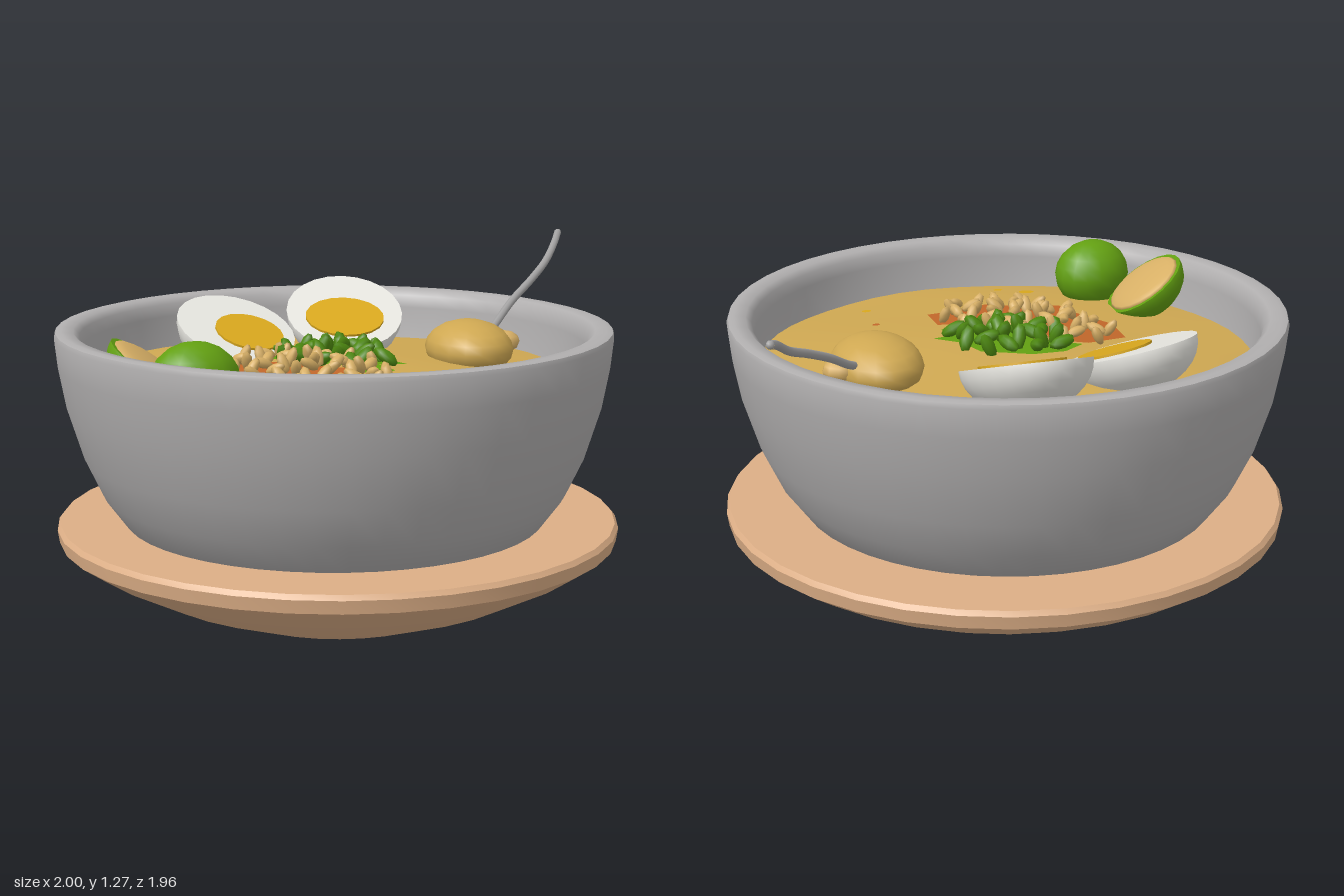
import * as THREE from 'three';
import { toCreasedNormals } from 'three/addons/utils/BufferGeometryUtils.js';

const mat = (name, color, side = THREE.FrontSide) => {
  const m = new THREE.MeshStandardMaterial({ color, side });
  m.name = name;
  return m;
};

// Soup surface: a gentle dome with slow ripples
const CX = -0.03;
const soupY = (x, z) => {
  const r2 = ((x - CX) ** 2 + z * z) / 0.76;
  return 0.85 + 0.055 * (1 - r2) + 0.008 * Math.sin(5 * x + 1) * Math.cos(6 * z);
};

// Disc-like sheet fanned from the centroid of an outline and draped on the soup
function drape(outline, lift, rings) {
  const n = outline.length, pos = [], idx = [];
  const cx = outline.reduce((s, p) => s + p[0], 0) / n;
  const cz = outline.reduce((s, p) => s + p[1], 0) / n;
  for (let j = 0; j <= rings; j++) {
    for (const [px, pz] of outline) {
      const t = j / rings, x = cx + (px - cx) * t, z = cz + (pz - cz) * t;
      pos.push(x, soupY(x, z) + lift, z);
    }
  }
  for (let j = 0; j < rings; j++) {
    for (let i = 0; i < n; i++) {
      const a = j * n + i, b = j * n + (i + 1) % n, c = a + n, d = b + n;
      idx.push(a, d, c);
      if (j > 0) idx.push(a, b, d);
    }
  }
  const g = new THREE.BufferGeometry();
  g.setAttribute('position', new THREE.Float32BufferAttribute(pos, 3));
  g.setIndex(idx);
  g.computeVertexNormals();
  return g;
}

const circle = (cx, cz, r, n) => Array.from({ length: n }, (_, i) => {
  const a = -i / n * Math.PI * 2;
  return [cx + r * Math.cos(a), cz + r * Math.sin(a)];
});

const lathe = (pts, seg) =>
  toCreasedNormals(new THREE.LatheGeometry(pts.map(p => new THREE.Vector2(...p)), seg), 0.7);

export function createModel() {
  const root = new THREE.Group();
  root.name = 'noodleSoupBowl';
  const M = {
    bowl: mat('bowl grey', 0xb1afaf),
    plate: mat('plate tan', 0xdcae86),
    soup: mat('soup gold', 0xcfa852, THREE.DoubleSide),
    white: mat('egg white', 0xe6e5df),
    yolk: mat('yolk yellow', 0xd9a81e, THREE.DoubleSide),
    green: mat('lime green', 0x63a012, THREE.DoubleSide),
    herb: mat('herb green', 0x4c860f),
    chilli: mat('chilli orange', 0xc2672a, THREE.DoubleSide),
    seed: mat('seed tan', 0xd8b066),
    metal: mat('spoon grey', 0xa3a2a2),
  };
  const add = (name, geo, m, parent = root) => {
    const o = new THREE.Mesh(geo, m);
    o.name = name;
    parent.add(o);
    return o;
  };

  // Saucer with a flat top
  const plate = add('plate', lathe([[0, 0], [0.22, 0.005], [0.43, 0.04], [0.68, 0.135], [0.88, 0.24],
    [0.975, 0.305], [0.982, 0.35], [0.97, 0.366], [0, 0.366]], 36), M.plate);
  plate.position.set(-0.017, 0, -0.003);

  // Bowl: outer wall, rounded rim, inner wall
  const bowl = add('bowl', lathe([[0.6, 0.3], [0.73, 0.36], [0.81, 0.47], [0.87, 0.6], [0.925, 0.78],
    [0.95, 0.92], [0.96, 1.02], [0.955, 1.035], [0.935, 1.04], [0.895, 1.035], [0.875, 1.015],
    [0.868, 0.97], [0.86, 0.85], [0.82, 0.72], [0, 0.7]], 48), M.bowl);
  bowl.position.x = CX;

  // Soup and its oily patches
  add('soup', drape(circle(CX, 0, 0.866, 48), 0, 14), M.soup);
  add('chilliPatch', drape([[-0.48, 0.12], [-0.4, 0.27], [-0.38, 0.37], [-0.25, 0.4], [-0.14, 0.5], [0, 0.47],
    [0.1, 0.47], [0.12, 0.3], [0.03, 0.27], [-0.02, 0.14], [-0.13, 0.07], [-0.2, -0.03], [-0.3, -0.08],
    [-0.46, -0.04]], 0.004, 6), M.chilli);
  add('herbPatch', drape([[-0.27, -0.1], [-0.16, -0.04], [-0.08, 0.08], [0, 0.13], [0, 0.21], [0.08, 0.26],
    [0.14, 0.21], [0.1, 0.13], [0.2, 0.12], [0.13, 0.03], [0.1, -0.08], [-0.06, -0.16], [-0.18, -0.16]],
  0.008, 6), M.green);
  [[-0.35, 0.62, 0.03], [-0.27, 0.71, 0.018], [0.28, 0.64, 0.018], [0.74, 0.09, 0.025], [0.65, 0.02, 0.02],
    [-0.2, -0.61, 0.03]].forEach(([x, z, r]) => add('oilDrop', drape(circle(x, z, r, 7), 0.004, 1), M.yolk));
  add('chilliDrop', drape(circle(0.31, 0.43, 0.016, 5), 0.004, 1), M.chilli);

  // Half eggs: domed underside, flat cut face, thin yolk plate
  const egg = (x, y, z, rx, rz, rot, yolk) => {
    const g = new THREE.Group();
    g.name = 'halfEgg';
    add('eggUnderside', new THREE.SphereGeometry(1, 24, 8, 0, Math.PI * 2, Math.PI / 2, Math.PI / 2)
      .scale(rx, 0.16, rz), M.white, g);
    add('eggFace', new THREE.CircleGeometry(1, 24).rotateX(-Math.PI / 2).scale(rx, 1, rz), M.white, g);
    add('yolk', new THREE.CylinderGeometry(1, 1, 0.008, 18).scale(yolk[2], 1, yolk[3])
      .translate(yolk[0], 0.004, yolk[1]), M.yolk, g);
    g.position.set(x, y, z);
    g.rotation.set(...rot);
    root.add(g);
  };
  egg(0.1, 1.005, -0.485, 0.215, 0.275, [0.36, -0.15, 0.02], [0, 0.05, 0.145, 0.14]);
  egg(-0.32, 0.975, -0.38, 0.215, 0.255, [0.33, 0.1, -0.15], [0.04, 0.04, 0.125, 0.135]);

  // Limes: one half with its cut face showing, one rounded wedge
  const lime = new THREE.Group();
  lime.name = 'limeHalf';
  add('limePeel', new THREE.SphereGeometry(0.16, 20, 8, 0, Math.PI * 2, Math.PI / 2, Math.PI / 2)
    .scale(1, 0.75, 1), M.green, lime);
  add('limeFlesh', new THREE.SphereGeometry(0.145, 20, 5, 0, Math.PI * 2, 0, Math.PI / 2)
    .scale(1, 0.18, 1), M.seed, lime);
  add('limeRind', new THREE.RingGeometry(0.14, 0.16, 20).rotateX(-Math.PI / 2), M.green, lime);
  lime.position.set(-0.69, 0.965, 0.3);
  lime.rotation.set(0.12, 0, -0.62);
  root.add(lime);
  const wedge = add('limeWedge', new THREE.SphereGeometry(1, 16, 10).scale(0.15, 0.125, 0.125), M.green);
  wedge.position.set(-0.575, 0.96, 0.515);
  wedge.rotation.y = 0.35;

  // Spoon: heaped scoop, collar and bent handle
  const scoop = add('spoonScoop', new THREE.SphereGeometry(1, 16, 10).scale(0.155, 0.1, 0.195), M.soup);
  scoop.position.set(0.475, 0.925, -0.09);
  const collar = add('spoonCollar', new THREE.SphereGeometry(1, 10, 6).scale(0.06, 0.04, 0.055), M.seed);
  collar.position.set(0.615, 0.935, -0.135);
  const path = new THREE.CatmullRomCurve3([[0.56, 0.95, -0.16], [0.62, 0.99, -0.24], [0.7, 1.05, -0.33],
    [0.8, 1.11, -0.43], [0.89, 1.165, -0.54], [0.95, 1.22, -0.63], [0.99, 1.252, -0.715]]
    .map(p => new THREE.Vector3(...p)));
  add('spoonHandle', new THREE.TubeGeometry(path, 20, 0.014, 8), M.metal);
  const tip = add('spoonTip', new THREE.SphereGeometry(0.014, 8, 6), M.metal);
  tip.position.copy(path.getPoint(1));

  // Scattered seeds and chopped herbs on a golden-angle spiral inside a turned ellipse
  const grain = new THREE.SphereGeometry(1, 7, 5);
  const scatter = (name, m, count, cx, cz, a, b, turn, size) => {
    for (let i = 0; i < count; i++) {
      const r = Math.sqrt((i + 0.5) / count), t = i * 2.4;
      const u = a * r * Math.cos(t), v = b * r * Math.sin(t);
      const x = cx + u * Math.cos(turn) - v * Math.sin(turn);
      const z = cz + u * Math.sin(turn) + v * Math.cos(turn);
      const s = add(name, grain, m);
      s.scale.set(size * 0.5, size * 0.45, size);
      s.position.set(x, soupY(x, z) + 0.03 + 0.03 * (1 - r), z);
      s.rotation.set(-0.7 + 0.5 * Math.sin(i * 5.1), i * 1.7, 0, 'YXZ');
    }
  };
  scatter('seed', M.seed, 46, -0.16, 0.18, 0.35, 0.21, 0.95, 0.04);
  scatter('herbPiece', M.herb, 26, -0.03, 0.01, 0.21, 0.16, 0.5, 0.05);

  return root;
}
